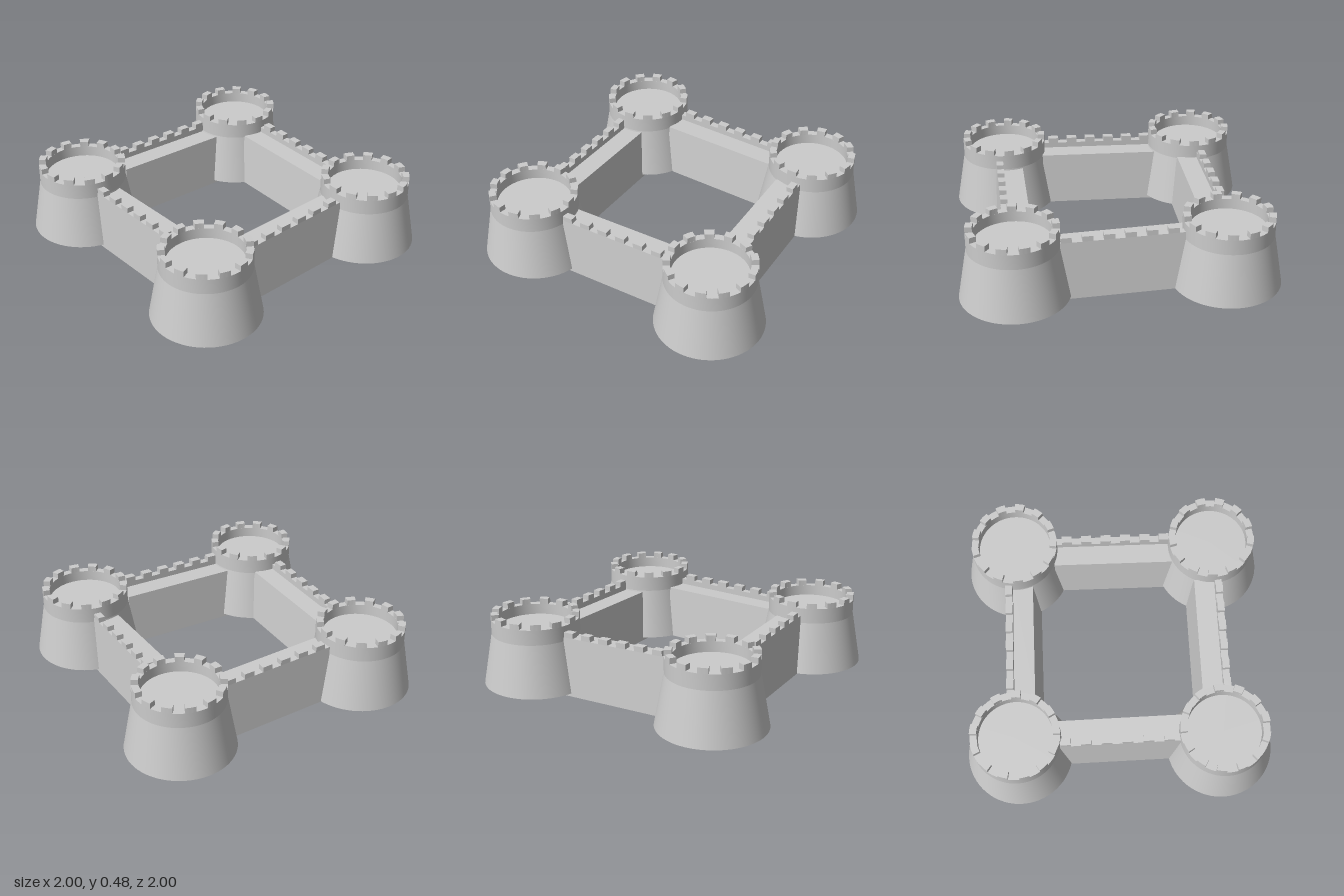
import * as THREE from 'three';
import { toCreasedNormals } from 'three/addons/utils/BufferGeometryUtils.js';

const material = new THREE.MeshStandardMaterial({ color: 0xcccccc });
const OUTER = 0.277, INNER = 0.233; // tower parapet radii

function addMesh(parent, geometry, name) {
  const mesh = new THREE.Mesh(geometry, material);
  mesh.name = name;
  parent.add(mesh);
  return mesh;
}

// Battered round tower with a sunken floor and a crenellated rim
function createTower() {
  const tower = new THREE.Group();
  tower.name = 'tower';
  const profile = [
    [0, 0.022], [0.337, 0.022], [OUTER, 0.35], [OUTER, 0.447],
    [INNER, 0.447], [INNER, 0.38], [0, 0.38],
  ].map(([r, y]) => new THREE.Vector2(r, y));
  addMesh(tower, toCreasedNormals(new THREE.LatheGeometry(profile, 64), 0.15), 'towerBody');

  const count = 13, step = (Math.PI * 2) / count, half = step * 0.24;
  const sector = new THREE.Shape();
  sector.absarc(0, 0, OUTER, -half, half, false);
  sector.absarc(0, 0, INNER, half, -half, true);
  sector.closePath();
  const geometry = new THREE.ExtrudeGeometry(sector, { depth: 0.036, bevelEnabled: false, curveSegments: 4 });
  geometry.rotateX(-Math.PI / 2);
  const merlon = toCreasedNormals(geometry, 0.5);
  for (let i = 0; i < count; i++) {
    const mesh = addMesh(tower, merlon, 'towerMerlon');
    mesh.position.y = 0.446;
    mesh.rotation.y = -Math.PI / 2 + step * (i + 0.5);
  }
  return tower;
}

// Curtain wall along x: battered sides, walkway, outer parapet with merlons
function createWall() {
  const wall = new THREE.Group();
  wall.name = 'wall';
  const section = new THREE.Shape([
    [-0.114, 0], [0.114, 0], [0.095, 0.375], [0.05, 0.375], [0.05, 0.34], [-0.08, 0.34],
  ].map(([z, y]) => new THREE.Vector2(z, y)));
  const start = -0.385, end = 0.415;
  const body = new THREE.ExtrudeGeometry(section, { depth: end - start, bevelEnabled: false });
  body.rotateY(-Math.PI / 2).translate(end, 0, 0);
  addMesh(wall, body, 'wallBody');

  const merlon = new THREE.BoxGeometry(0.066, 0.034, 0.045);
  for (let i = 0; i < 6; i++) {
    addMesh(wall, merlon, 'wallMerlon').position.set(-0.31 + i * 0.128, 0.391, 0.0725);
  }
  return wall;
}

export function createModel() {
  const castle = new THREE.Group();
  castle.name = 'castle';
  // Each quarter holds one tower and one slightly skewed wall
  for (let i = 0; i < 4; i++) {
    const quarter = new THREE.Group();
    quarter.name = 'castleSide';
    quarter.rotation.y = (i * Math.PI) / 2;

    const tower = createTower();
    tower.position.set(-0.624, 0, 0.662);

    const wall = createWall();
    wall.position.set(0, 0.0104, 0.608);
    wall.rotation.set(0, 0.042, 0.027);

    quarter.add(tower, wall);
    castle.add(quarter);
  }
  return castle;
}
